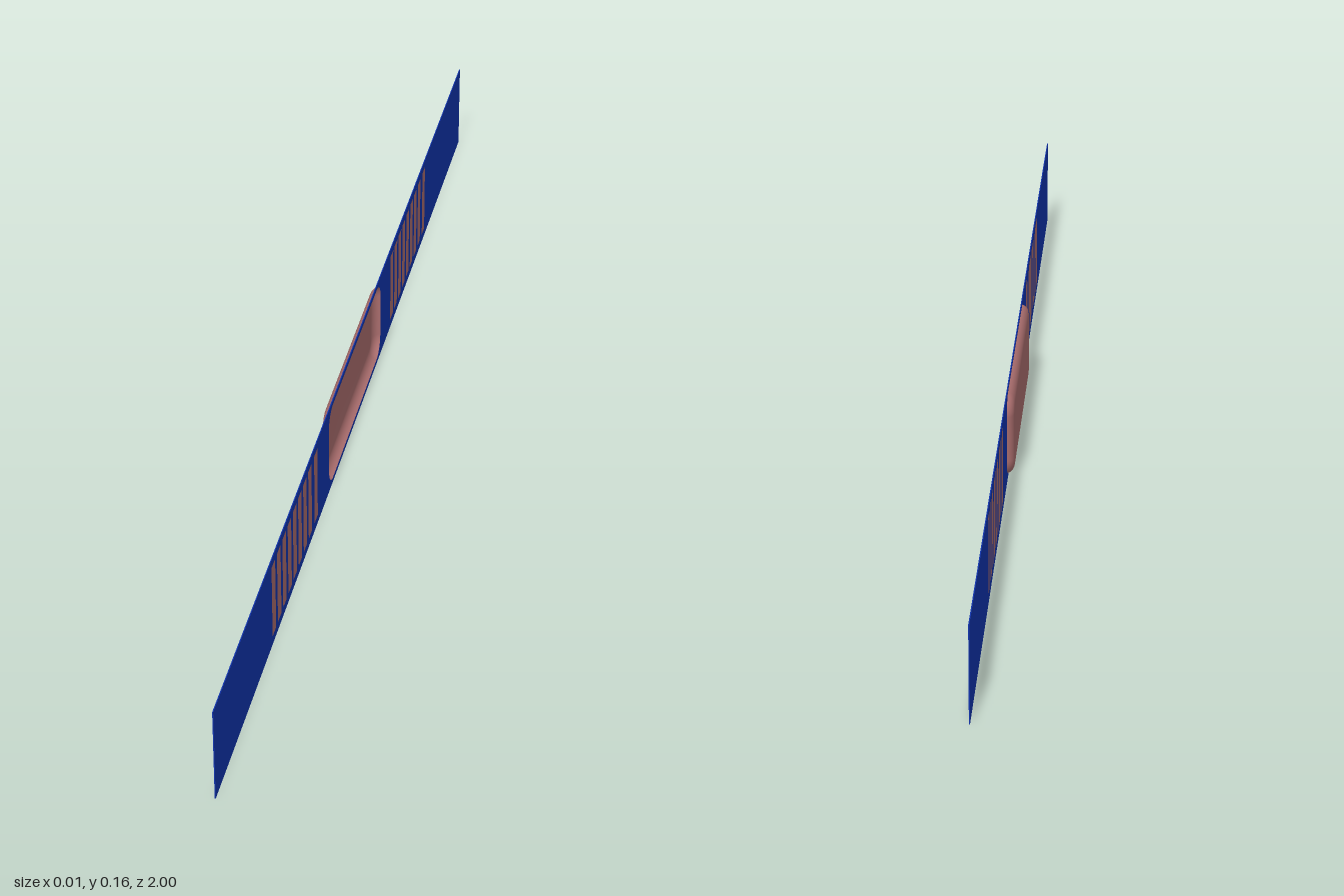
import * as THREE from 'three';

const HEIGHT = 0.158, PLANE_X = 0.0065, DEPTH = 0.013, THICKNESS = 0.0016;
const PAD = { halfLength: 0.215, halfHeight: 0.071, radius: 0.032, inset: 0.018 };

// Rounded rectangle around the pad centre, shrunk by an inset
function padRing(inset) {
  const r = PAD.radius - inset, steps = 8, points = [];
  for (let corner = 0; corner < 4; corner++) {
    const sx = corner === 0 || corner === 3 ? 1 : -1;
    const sy = corner < 2 ? 1 : -1;
    for (let i = 0; i <= steps; i++) {
      const a = (corner + i / steps) * Math.PI / 2;
      points.push(new THREE.Vector2(
        sx * (PAD.halfLength - PAD.radius) + r * Math.cos(a),
        HEIGHT / 2 + sy * (PAD.halfHeight - PAD.radius) + r * Math.sin(a)));
    }
  }
  return points;
}

// Hollow pad: rounded rim sections closed by a flat face
function padGeometry() {
  const rows = 8, positions = [], index = [];
  let n = 0;
  for (let k = 0; k <= rows; k++) {
    const t = k / rows * Math.PI / 2;
    const ring = padRing(PAD.inset * (1 - Math.cos(t)));
    n = ring.length;
    ring.forEach(p => positions.push(p.x, p.y, DEPTH * Math.sin(t)));
  }
  positions.push(0, HEIGHT / 2, DEPTH);
  const centre = (rows + 1) * n;
  for (let i = 0; i < n; i++) {
    const j = (i + 1) % n;
    for (let k = 0; k < rows; k++) {
      const a = k * n + i, b = k * n + j;
      index.push(a, b, b + n, a, b + n, a + n);
    }
    index.push(rows * n + i, rows * n + j, centre);
  }
  const g = new THREE.BufferGeometry();
  g.setAttribute('position', new THREE.Float32BufferAttribute(positions, 3));
  g.setIndex(index);
  g.computeVertexNormals();
  return g;
}

function rectPoints(u0, u1, v0, v1) {
  return [[u0, v0], [u1, v0], [u1, v1], [u0, v1]].map(p => new THREE.Vector2(...p));
}

function sheet(shape) {
  return new THREE.ExtrudeGeometry(shape, { depth: THICKNESS, bevelEnabled: false });
}

export function createModel() {
  const blue = new THREE.MeshStandardMaterial({ color: 0x1033ac });
  const pink = new THREE.MeshStandardMaterial({ color: 0xa86c6c, side: THREE.DoubleSide });

  // Drawn in a plane: u runs along z, v is up, depth points to -x
  const model = new THREE.Group();
  const strip = new THREE.Group();
  strip.name = 'strip';
  strip.rotation.y = -Math.PI / 2;
  strip.position.x = PLANE_X;
  model.add(strip);
  const add = (name, geometry, material) => {
    const mesh = new THREE.Mesh(geometry, material);
    mesh.name = name;
    strip.add(mesh);
  };

  const bandShape = new THREE.Shape(rectPoints(-1, 1, 0, HEIGHT));
  bandShape.holes.push(new THREE.Path(padRing(0)));

  // Two groups of bars set flush into the band; the last bar stands a little apart
  for (const start of [0.631, -0.305]) {
    for (let i = 0; i < 9; i++) {
      const u = start - i * 0.0371 - (i === 8 ? 0.007 : 0);
      const corners = rectPoints(u - 0.0245, u, 0.015, 0.144);
      bandShape.holes.push(new THREE.Path(corners));
      add('bar', sheet(new THREE.Shape(corners)), pink);
    }
  }

  add('band', sheet(bandShape), blue);
  add('pad', padGeometry(), pink);
  return model;
}
